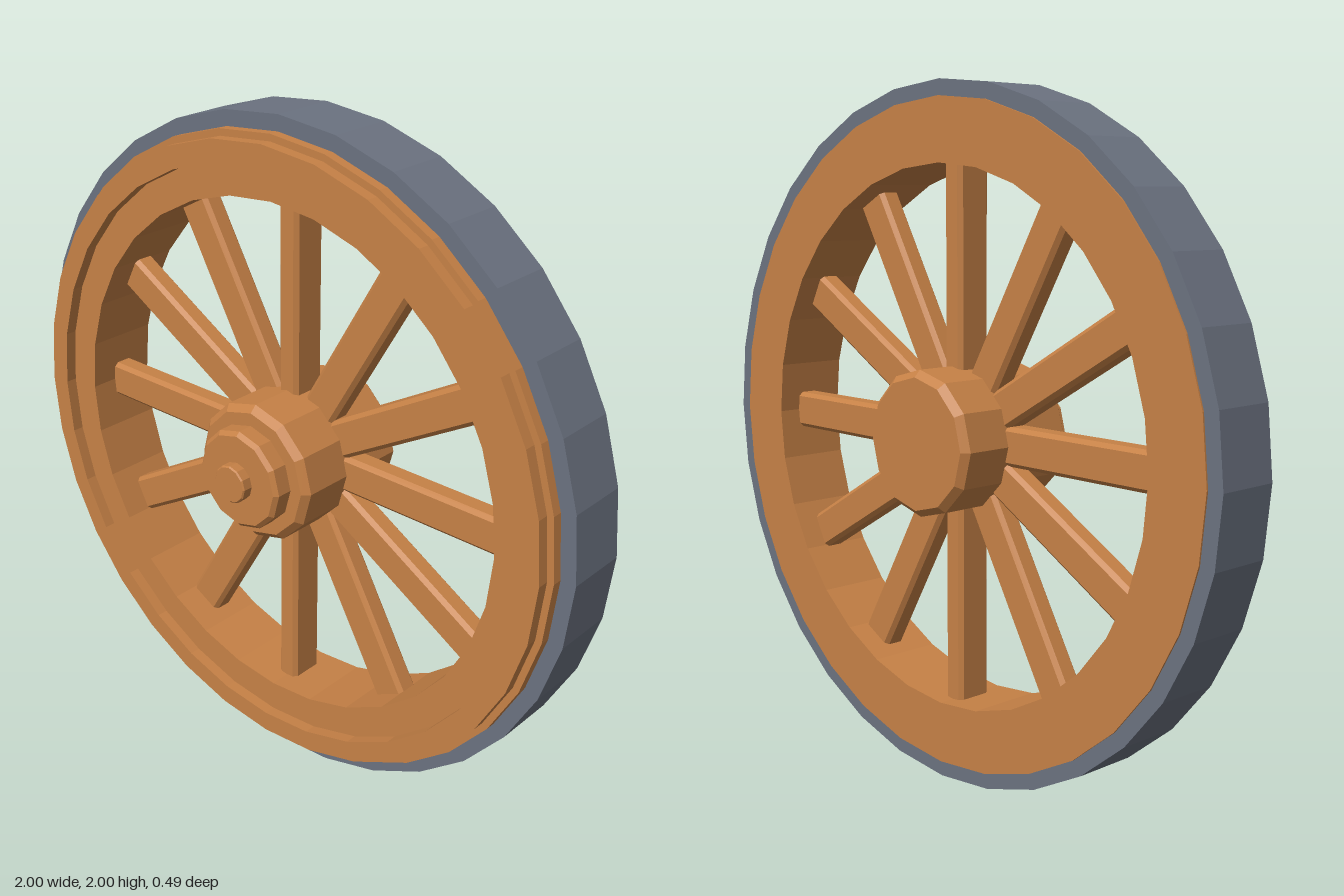
import * as THREE from 'three';

export function createModel() {
  const wood = new THREE.MeshStandardMaterial({ color: 0xc68146, flatShading: true });
  wood.name = 'wood';
  const iron = new THREE.MeshStandardMaterial({ color: 0x6b7280, flatShading: true });
  iron.name = 'iron';

  const model = new THREE.Group();
  model.name = 'wheel';
  const wheel = new THREE.Group();
  wheel.name = 'wheelParts';
  wheel.position.y = 1;
  model.add(wheel);

  // Turned part around the z axis; profile is [radius, z], outer side running towards +z
  function turned(name, profile, sides, material) {
    const points = profile.map(([r, z]) => new THREE.Vector2(r, z));
    const geometry = new THREE.LatheGeometry(points, sides);
    geometry.rotateX(Math.PI / 2);
    const mesh = new THREE.Mesh(geometry, material);
    mesh.name = name;
    wheel.add(mesh);
  }

  // Iron tyre
  turned('tyre', [[0.94, -0.15], [1, -0.15], [1, 0.04], [0.94, 0.04]], 32, iron);

  // Wooden rim with a raised ring on its front
  turned('rim', [
    [0.775, -0.155], [0.955, -0.155], [0.955, 0.07], [0.935, 0.07], [0.935, 0.105],
    [0.87, 0.105], [0.87, 0.07], [0.775, 0.07], [0.775, -0.155],
  ], 32, wood);

  // Hub, cap and axle tip, each with bevelled edges
  function drum(name, r, back, front, bevel) {
    turned(name, [
      [0, back], [r - bevel, back], [r, back + bevel],
      [r, front - bevel], [r - bevel, front], [0, front],
    ], 12, wood);
  }
  drum('hub', 0.209, -0.245, 0.155, 0.02);
  drum('hubCap', 0.15, 0.14, 0.213, 0.012);
  drum('axleTip', 0.057, 0.2, 0.245, 0.004);

  // Spoke: chamfered bar running along y from the hub into the rim
  function spokeGeometry(width, depth) {
    const w = width / 2, d = depth / 2, c = 0.012;
    const section = new THREE.Shape([
      [w - c, -d], [w, -d + c], [w, d - c], [w - c, d],
      [-w + c, d], [-w, d - c], [-w, -d + c], [-w + c, -d],
    ].map(([x, y]) => new THREE.Vector2(x, y)));
    const geometry = new THREE.ExtrudeGeometry(section, { depth: 0.7, bevelEnabled: false });
    geometry.rotateX(-Math.PI / 2);
    geometry.translate(0, 0.1, -0.05);
    return geometry;
  }
  const broad = spokeGeometry(0.112, 0.07);
  const narrow = spokeGeometry(0.07, 0.112);
  for (let i = 0; i < 12; i++) {
    // The two upright spokes are set edge-on
    const spoke = new THREE.Mesh(i % 6 === 0 ? narrow : broad, wood);
    spoke.name = 'spoke' + (i + 1);
    spoke.rotation.z = (i * Math.PI) / 6;
    wheel.add(spoke);
  }

  return model;
}
